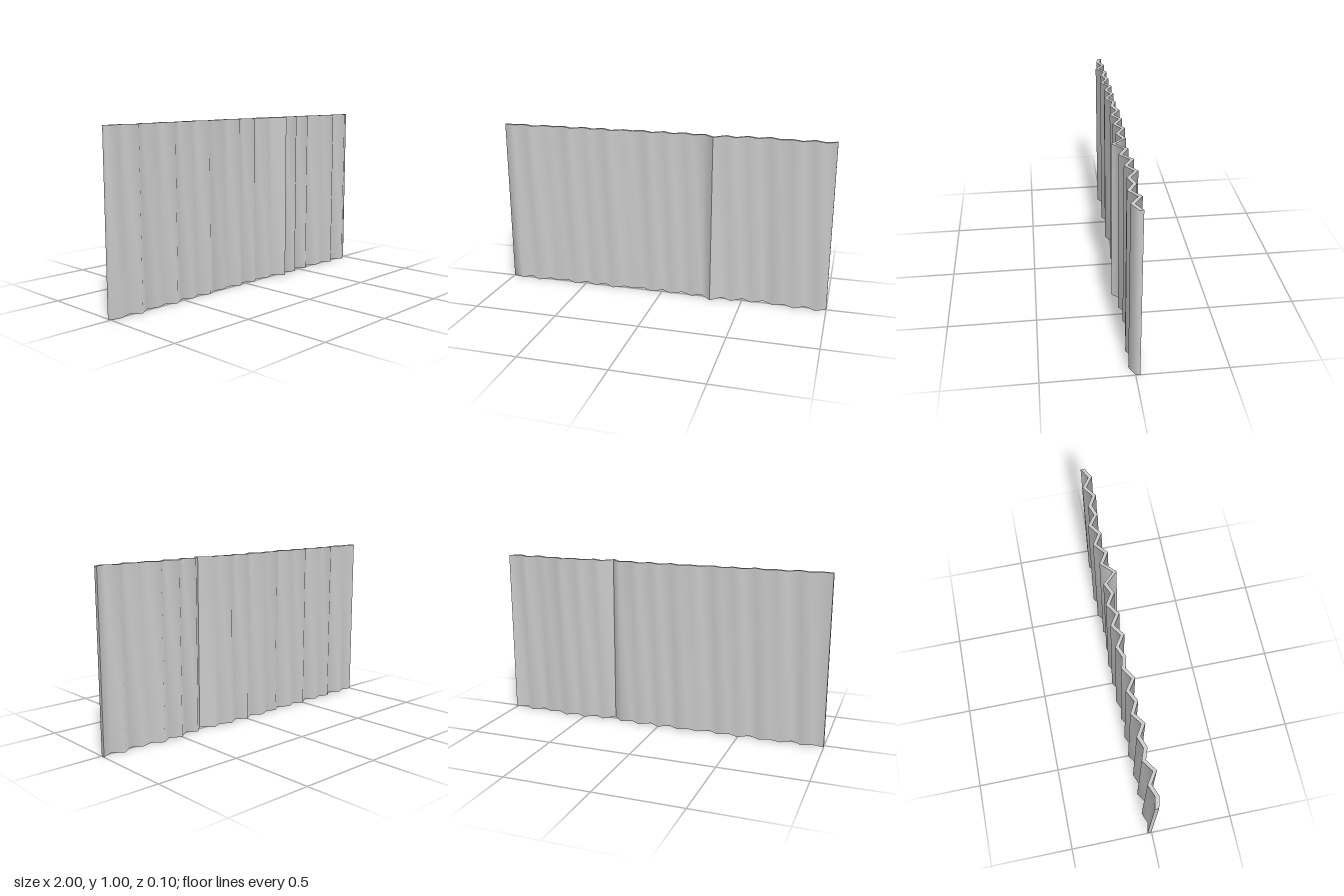
import * as THREE from 'three';
import { toCreasedNormals } from 'three/addons/utils/BufferGeometryUtils.js';

// Depth (z) of the folded sheet's centreline at evenly spaced folds, left to right
const FOLDS = [
  -0.015, 0, -0.025, 0.016, -0.027, -0.005, -0.027, 0.011, -0.033, 0, -0.031,
  0.011, -0.027, -0.011, -0.036, 0.005, -0.037, 0.003, -0.037, 0.001, -0.026,
  0.039, -0.023, 0.015, -0.036, 0.003, -0.04, 0.005, -0.016, 0.02, -0.025,
  0.02, -0.013,
];
const THICKNESS = 0.022;
const HEIGHT = 1;

export function createModel() {
  const group = new THREE.Group();
  const step = 2 / (FOLDS.length - 1);

  // Zigzag outline: along one face, then back along the other
  const edge = (offset) => FOLDS.map((z, i) => new THREE.Vector2(-1 + i * step, -z + offset));
  const outline = new THREE.Shape([...edge(-THICKNESS / 2), ...edge(THICKNESS / 2).reverse()]);

  // Raise the outline into an upright sheet; shallow folds are shaded smooth
  const extruded = new THREE.ExtrudeGeometry(outline, { depth: HEIGHT, bevelEnabled: false });
  extruded.rotateX(-Math.PI / 2);
  const sheet = new THREE.Mesh(
    toCreasedNormals(extruded, THREE.MathUtils.degToRad(80)),
    new THREE.MeshStandardMaterial({ color: 0xcccccc })
  );
  sheet.name = 'corrugatedSheet';
  group.add(sheet);
  return group;
}
